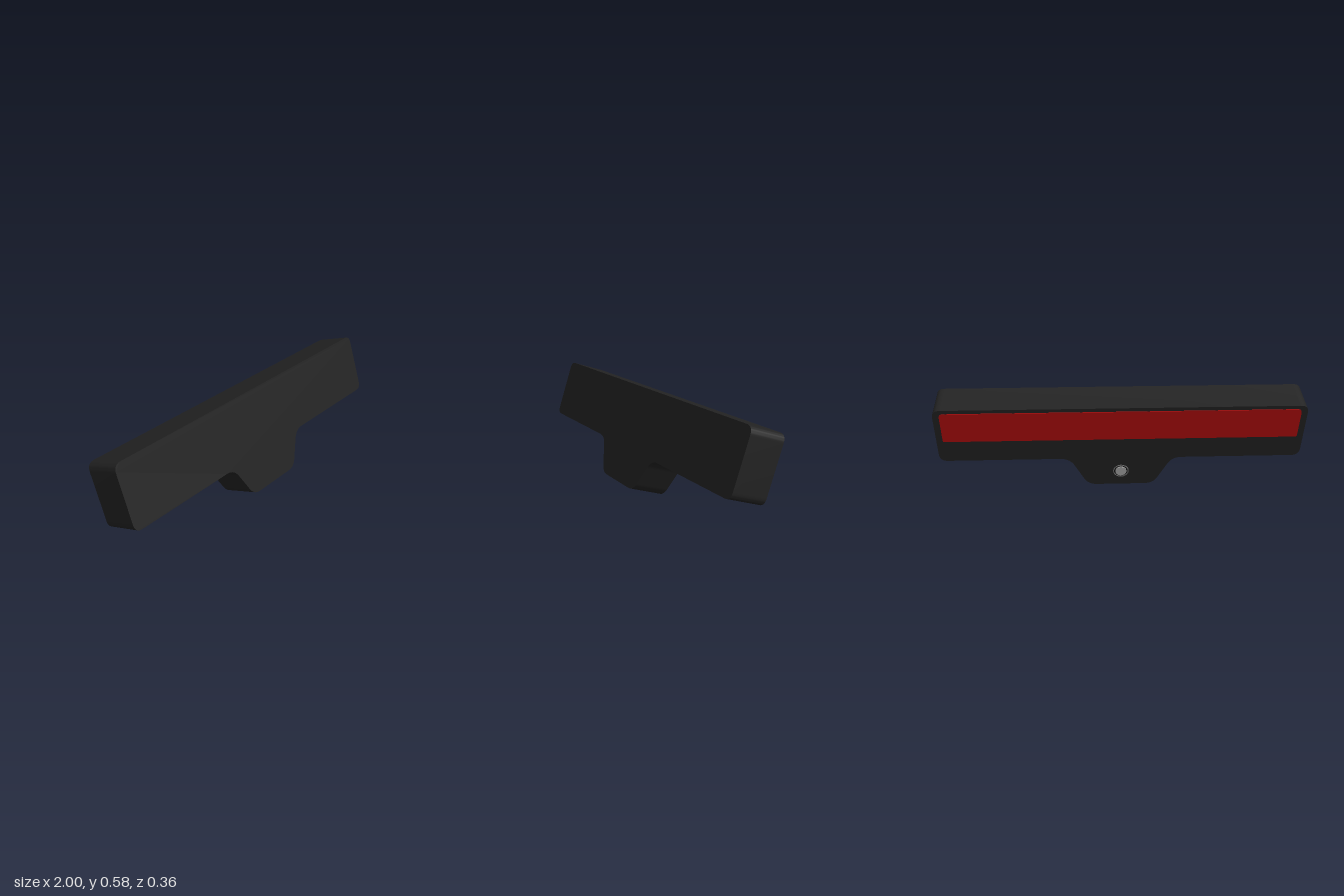
import * as THREE from 'three';
import { toCreasedNormals } from 'three/addons/utils/BufferGeometryUtils.js';

const TILT = 0.319, HEIGHT = 0.542, DEPTH = 0.198;

// Closed outline from [x, y, cornerRadius] points, each corner rounded
function roundedShape(points) {
  const shape = new THREE.Shape();
  points.forEach(([x, y, r], i) => {
    const corner = new THREE.Vector2(x, y);
    const toward = (p) => new THREE.Vector2(p[0], p[1]).sub(corner).setLength(r).add(corner);
    const a = toward(points.at(i - 1));
    const b = toward(points[(i + 1) % points.length]);
    if (i === 0) shape.moveTo(a.x, a.y);
    else shape.lineTo(a.x, a.y);
    shape.quadraticCurveTo(x, y, b.x, b.y);
  });
  shape.closePath();
  return shape;
}

// Extrude from z0 to z1 with smooth rounded corners and sharp rims
function slab(name, shape, z0, z1, color) {
  const geometry = new THREE.ExtrudeGeometry(shape, { depth: z1 - z0, bevelEnabled: false, curveSegments: 10 });
  geometry.translate(0, 0, z0);
  const mesh = new THREE.Mesh(toCreasedNormals(geometry, 0.6), new THREE.MeshStandardMaterial({ color }));
  mesh.name = name;
  return mesh;
}

function disc(radius, holeRadius = 0) {
  const shape = new THREE.Shape().absarc(0, 0.1, radius, 0, Math.PI * 2);
  if (holeRadius) shape.holes.push(new THREE.Path().absarc(0, 0.1, holeRadius, 0, Math.PI * 2, true));
  return shape;
}

export function createModel() {
  const model = new THREE.Group();
  model.name = 'tiltedBar';

  // Everything is built upright with its back on z = 0, then leaned backwards
  const tilted = new THREE.Group();
  tilted.name = 'tiltedAssembly';
  tilted.rotation.x = -TILT;
  tilted.position.set(0, 0, -0.009);
  model.add(tilted);

  // Wide bar with a tapered stem below its middle
  const half = [[0.185, 0, 0.05], [0.285, 0.195, 0.055], [1, 0.195, 0.045], [1, HEIGHT, 0.045]];
  const mirrored = half.map(([x, y, r]) => [-x, y, r]).reverse();
  tilted.add(slab('body', roundedShape([...half, ...mirrored]), 0, DEPTH, 0x222222));

  // Red strip on the back
  const strip = roundedShape([[0.965, 0.333, 0.01], [0.965, 0.52, 0.025], [-0.965, 0.52, 0.025], [-0.965, 0.333, 0.01]]);
  tilted.add(slab('redBackPanel', strip, -0.004, 0.002, 0xb00c0c));

  // Round fastener on the back of the stem
  tilted.add(slab('fastenerCollar', disc(0.044, 0.039), -0.003, 0.002, 0x777777));
  tilted.add(slab('fastenerGroove', disc(0.039), -0.001, 0.002, 0x181818));
  tilted.add(slab('fastenerHead', disc(0.031), -0.006, 0.002, 0xaaaaaa));

  return model;
}
